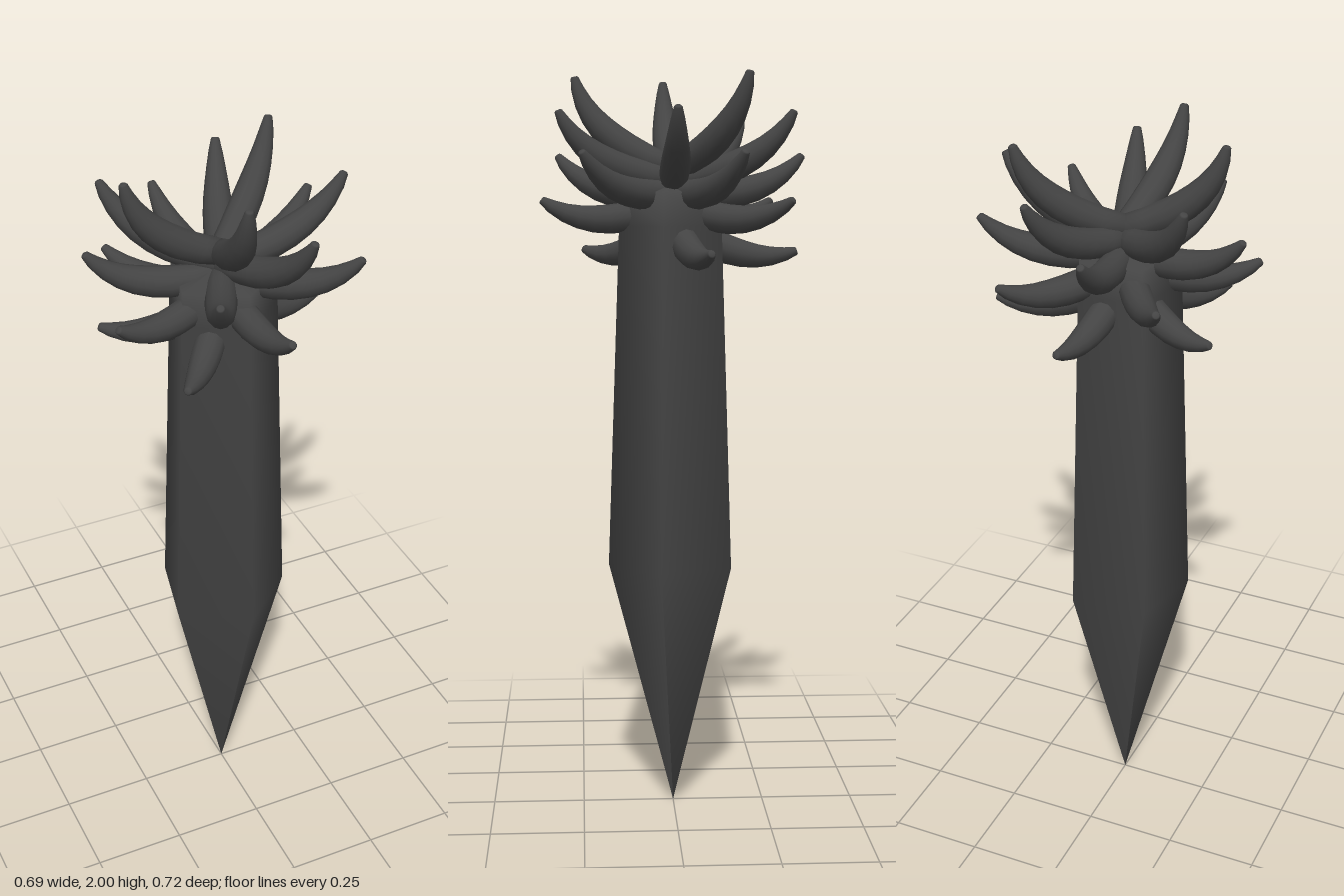
import * as THREE from 'three';
import { mergeVertices } from 'three/addons/utils/BufferGeometryUtils.js';

const material = new THREE.MeshStandardMaterial({ color: 0x444444 });
const toPoints = (pairs) => pairs.map(([x, y]) => new THREE.Vector2(x, y));

// Leaf: a tapered, blunt-tipped lathe bent along an upward hook from the stem to its tip
const leafProfile = toPoints([
  [0, 0], [0.034, 0], [0.038, 0.15], [0.04, 0.3], [0.039, 0.42], [0.036, 0.54],
  [0.031, 0.66], [0.025, 0.78], [0.018, 0.9], [0.011, 0.99], [0.008, 1], [0, 1],
]);

function makeLeaf(tipRadius, baseY, tipY, sag) {
  const start = new THREE.Vector3(0, baseY, 0);
  const end = new THREE.Vector3(tipRadius, tipY, 0);
  const chord = end.clone().sub(start).normalize();
  const control = start.clone().lerp(end, 0.62).add(new THREE.Vector3(chord.y, -chord.x, 0).multiplyScalar(sag));
  const curve = new THREE.QuadraticBezierCurve3(start, control, end);
  const bent = new THREE.LatheGeometry(leafProfile, 12);
  const pos = bent.attributes.position;
  for (let i = 0; i < pos.count; i++) {
    const x = pos.getX(i), t = pos.getY(i);
    const p = curve.getPoint(t), d = curve.getTangent(t);
    pos.setXY(i, p.x + d.y * x, p.y - d.x * x);
  }
  // Merge the lathe seam so the shading is smooth all round
  bent.deleteAttribute('uv');
  bent.deleteAttribute('normal');
  const geometry = mergeVertices(bent, 1e-5);
  geometry.computeVertexNormals();
  return geometry;
}

// Tiers of leaves, top to bottom; tips are [x, z]
const tiers = [
  { baseY: 1.75, tipY: 1.995, sag: 0.1, tips: [[-0.26, 0.015], [-0.05, 0.262], [0.215, -0.185]] },
  { baseY: 1.72, tipY: 1.9, sag: 0.1, tips: [[-0.24, -0.205], [0.125, -0.31], [0.335, 0.005], [0.1, 0.305]] },
  { baseY: 1.69, tipY: 1.79, sag: 0.1, tips: [[-0.04, -0.352], [0.325, -0.165], [-0.145, 0.31], [-0.338, -0.06], [0.265, 0.245]] },
  { baseY: 1.66, tipY: 1.67, sag: 0.095, tips: [[0.025, 0.352], [-0.325, 0.115], [-0.205, -0.285], [0.21, -0.3]] },
  { baseY: 1.62, tipY: 1.535, sag: 0.09, tips: [[0.04, -0.33], [0.33, -0.08], [-0.285, -0.13], [-0.2, 0.24]] },
];

export function createModel() {
  const model = new THREE.Group();
  model.name = 'spikyPlant';

  // Five-sided stem with a pointed root
  const stemProfile = toPoints([[0, 0], [0.178, 0.68], [0.146, 1.6], [0.141, 1.69], [0, 1.72]]);
  const stem = new THREE.Mesh(
    new THREE.LatheGeometry(stemProfile, 5, THREE.MathUtils.degToRad(5)), material);
  stem.name = 'stem';
  model.add(stem);

  // Crown of leaves
  const crown = new THREE.Group();
  crown.name = 'crown';
  for (const { baseY, tipY, sag, tips } of tiers) {
    for (const [x, z] of tips) {
      const leaf = new THREE.Mesh(makeLeaf(Math.hypot(x, z), baseY, tipY, sag), material);
      leaf.name = 'leaf';
      leaf.rotation.y = -Math.atan2(z, x);
      crown.add(leaf);
    }
  }
  model.add(crown);
  return model;
}
